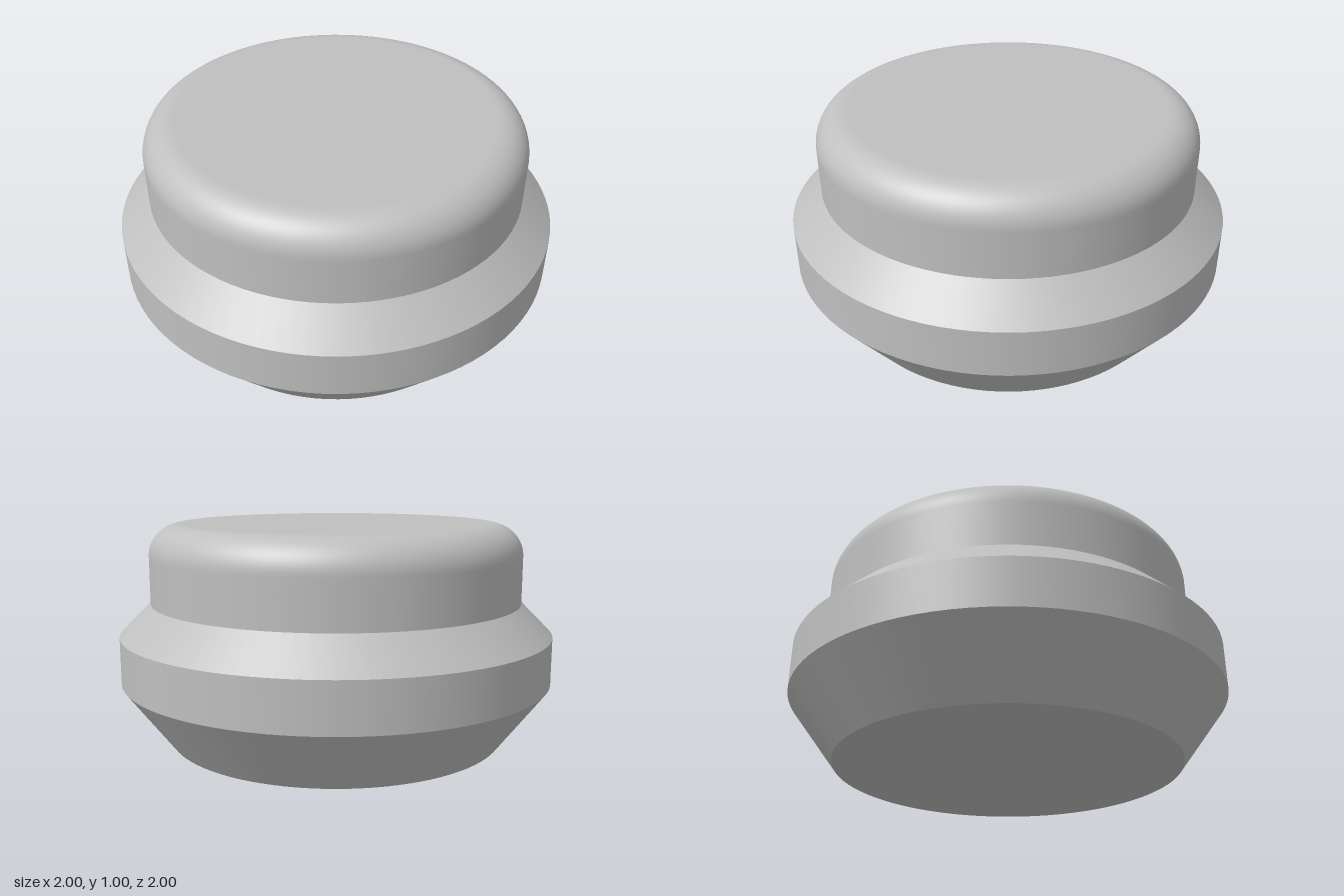
import * as THREE from 'three';

const SEGMENTS = 96;
const UNIT = 1 / 7; // all proportions fall on half units

export function createModel() {
  const group = new THREE.Group();
  group.name = 'roundButton';
  const grey = new THREE.MeshStandardMaterial({ name: 'grey', color: 0xbfbfbf });

  // Revolve a profile of [radius, height] pairs, listed from bottom to top
  const addBand = (name, profile) => {
    const points = profile.map(([r, y]) => new THREE.Vector2(r * UNIT, y * UNIT));
    const mesh = new THREE.Mesh(new THREE.LatheGeometry(points, SEGMENTS), grey);
    mesh.name = name;
    group.add(mesh);
  };

  // Separate bands keep the edges between them sharp
  addBand('bottomFace', [[0, 0], [5.5, 0]]);
  addBand('baseTaper', [[5.5, 0], [7, 2]]);
  addBand('rimWall', [[7, 2], [7, 3.5]]);
  addBand('shoulderBevel', [[7, 3.5], [6, 4.5]]);

  // Cap: straight wall, quarter-round edge and flat top, smooth throughout
  const cap = [[6, 4.5], [6, 5.95]];
  const STEPS = 16;
  for (let i = 0; i <= STEPS; i++) {
    const a = (i / STEPS) * Math.PI / 2;
    cap.push([5 + Math.cos(a), 6 + Math.sin(a)]);
  }
  cap.push([4.95, 7], [0, 7]);
  addBand('roundedCap', cap);

  return group;
}
